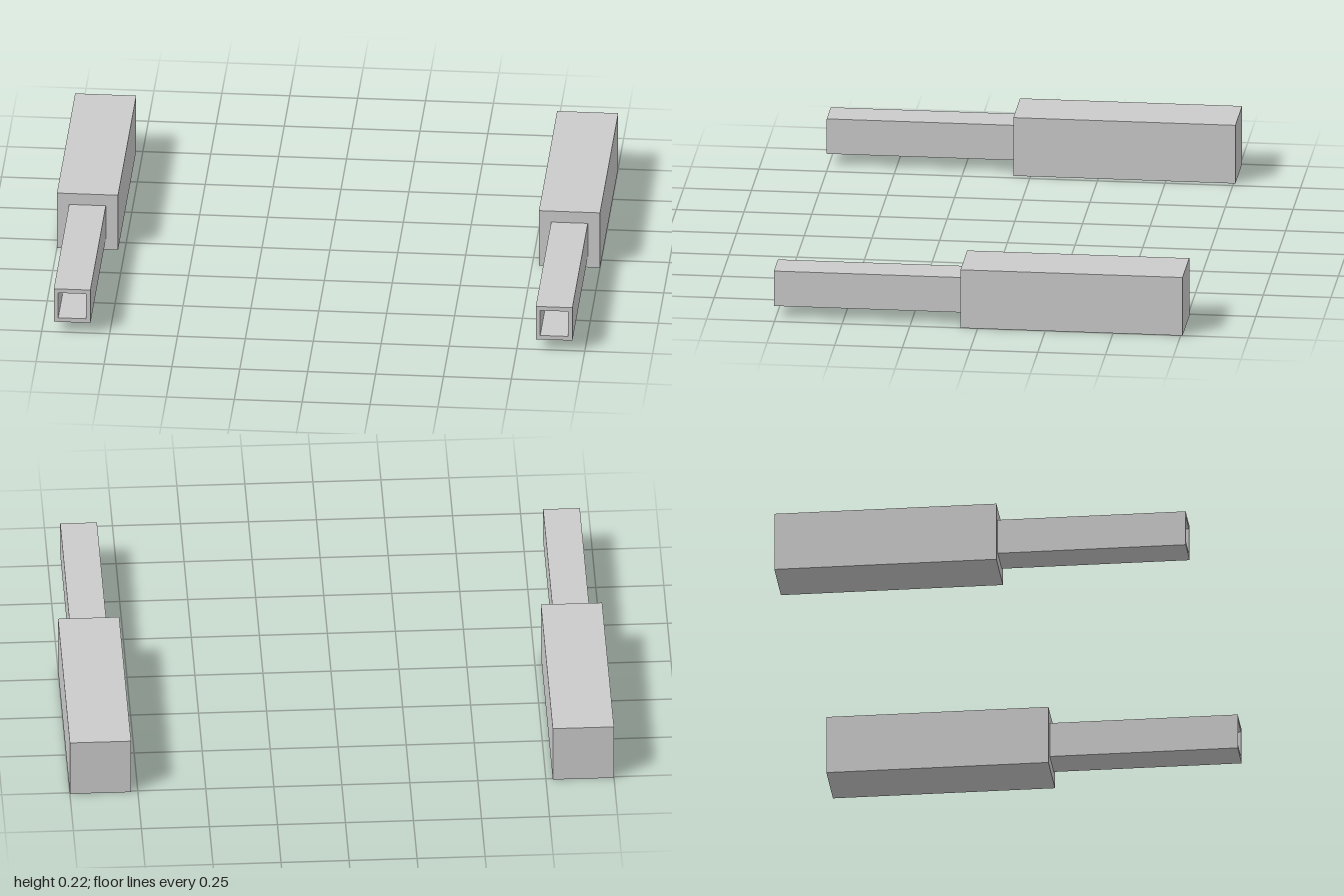
import * as THREE from 'three';

const material = new THREE.MeshStandardMaterial({ color: 0xcccccc, flatShading: true });

// Traces a centred square on a Shape or Path
function square(path, size) {
  const h = size / 2;
  path.moveTo(-h, -h);
  path.lineTo(h, -h);
  path.lineTo(h, h);
  path.lineTo(-h, h);
  path.closePath();
  return path;
}

// One unit: a solid square housing with a hollow square tube on its front
function createUnit(name, x) {
  const unit = new THREE.Group();
  unit.name = name;

  const back = -0.757, joint = 0.063, front = 0.757;
  const housingSize = 0.225;

  const housing = new THREE.Mesh(
    new THREE.BoxGeometry(housingSize, housingSize, joint - back), material);
  housing.name = 'housing';
  housing.position.z = (joint + back) / 2;

  // Tube, open at the front and closed by the housing behind it
  const section = square(new THREE.Shape(), 0.135);
  section.holes.push(square(new THREE.Path(), 0.102));
  const tube = new THREE.Mesh(
    new THREE.ExtrudeGeometry(section, { depth: front - joint, bevelEnabled: false }), material);
  tube.name = 'squareTube';
  tube.position.z = joint;

  unit.add(housing, tube);
  unit.position.set(x, housingSize / 2, 0);
  return unit;
}

export function createModel() {
  const model = new THREE.Group();
  model.name = 'squareTubePair';
  model.add(createUnit('leftUnit', 0.8875), createUnit('rightUnit', -0.8875));
  return model;
}
